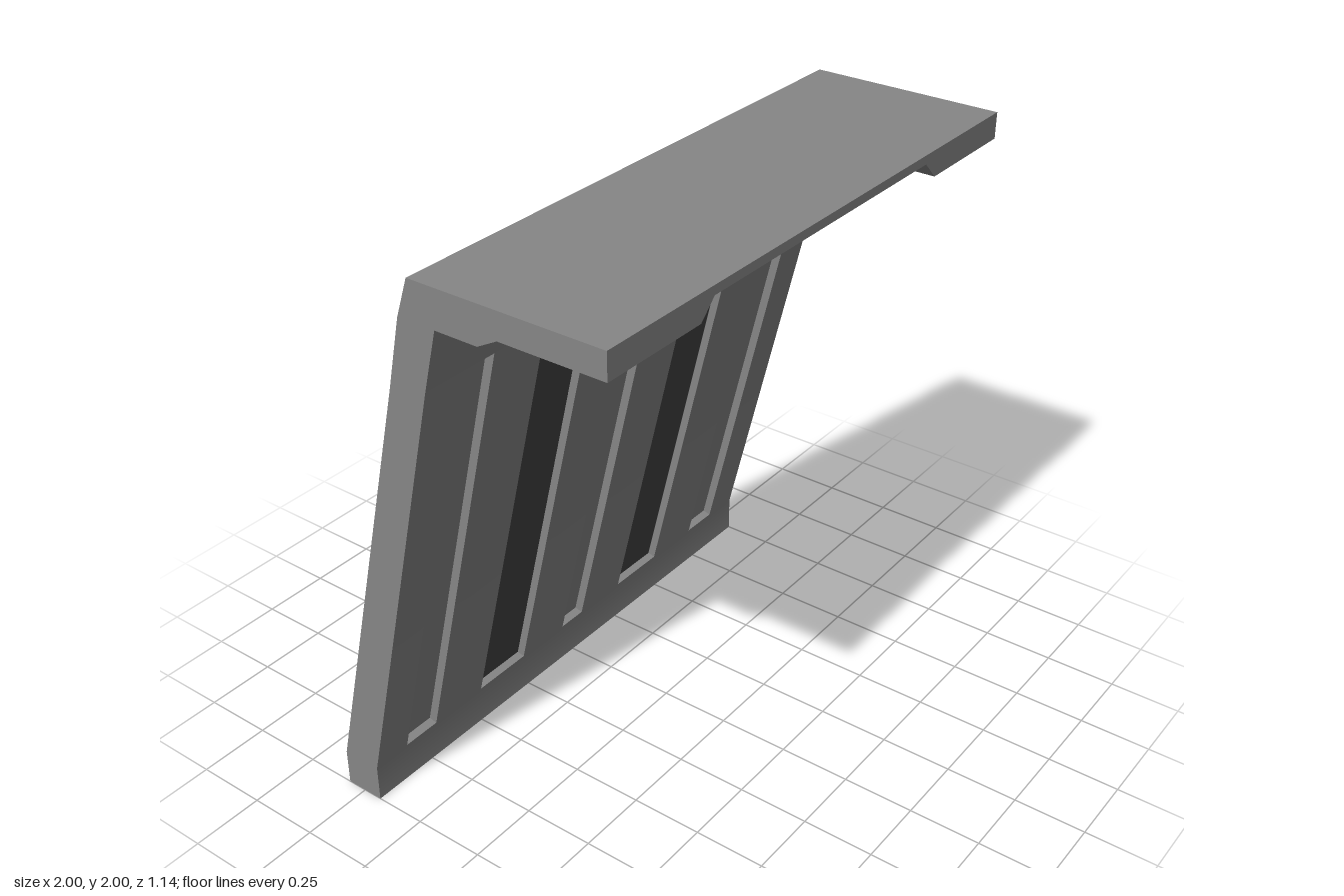
import * as THREE from 'three';
import { toCreasedNormals } from 'three/addons/utils/BufferGeometryUtils.js';

const grey = new THREE.MeshStandardMaterial({ color: 0x868686 });
const dark = new THREE.MeshStandardMaterial({ color: 0x464646 });

const shapeOf = (points) => new THREE.Shape(points.map(([a, b]) => new THREE.Vector2(a, b)));

// Side profile of [z, y] points, swept along x from x0 to x1
function sweepX(name, points, x0, x1, material = grey) {
  let geo = new THREE.ExtrudeGeometry(shapeOf(points), { depth: x1 - x0, bevelEnabled: false });
  geo.rotateY(-Math.PI / 2);
  geo.translate(x1, 0, 0);
  geo = toCreasedNormals(geo, 0.4);
  const mesh = new THREE.Mesh(geo, material);
  mesh.name = name;
  return mesh;
}

// Shares one soft normal along the bend above the foot, so wall and ribs shade as one surface
function softenFoot(mesh) {
  const { position, normal } = mesh.geometry.attributes;
  for (let i = 0; i < position.count; i++) {
    const y = position.getY(i);
    if (y > 0.1 && y < 0.14 && normal.getZ(i) > 0.9) normal.setXYZ(i, 0, -0.117, 0.993);
  }
  return mesh;
}

export function createModel() {
  const model = new THREE.Group();
  model.name = 'slottedPanel';

  // Sloping front face of the wall and the recess cut square into it
  const frontZ = (y) => -0.43 + (y - 0.13) * 0.239;
  const low = [frontZ(0.135), 0.135];
  const high = [frontZ(1.667), 1.667];
  const inset = ([z, y], d) => [z - 0.973 * d, y + 0.232 * d];
  const depth = 0.03;

  // Wall with the rear half of the shelf
  model.add(softenFoot(sweepX('wall', [
    [0.21, 2], [-0.1, 2], [-0.145, 1.87], [-0.2, 1.63], [-0.57, 0.13], [-0.57, 0],
    [-0.43, 0], [-0.43, 0.13], low, inset(low, depth), inset(high, depth), high,
    [-0.01, 1.873], [0.14, 1.873], [0.21, 1.911],
  ], -1, 1)));

  // Ribs fill the recess between the slots
  const slots = [[-0.86, -0.72], [-0.495, -0.27], [-0.055, 0.055], [0.27, 0.495], [0.72, 0.86]];
  const edges = [-1, ...slots.flat(), 1];
  const ribProfile = [low, inset(low, depth), inset(high, depth), high];
  for (let i = 0; i < edges.length; i += 2) {
    model.add(softenFoot(sweepX('rib', ribProfile, edges[i], edges[i + 1])));
  }

  // Dark floors of the two wide slots
  const floorProfile = [inset(low, depth - 0.002), inset(low, depth + 0.005),
    inset(high, depth + 0.005), inset(high, depth - 0.002)];
  for (const i of [1, 3]) {
    model.add(sweepX('slotFloor', floorProfile, slots[i][0], slots[i][1], dark));
  }

  // Front half of the shelf with a wide notch underneath
  const lipGeo = new THREE.ExtrudeGeometry(shapeOf([
    [-1, 2], [-1, 1.911], [-0.61, 1.911], [-0.55, 1.97],
    [0.55, 1.97], [0.61, 1.911], [1, 1.911], [1, 2],
  ]), { depth: 0.36, bevelEnabled: false });
  const lip = new THREE.Mesh(lipGeo, grey);
  lip.name = 'shelfLip';
  lip.position.z = 0.21;
  model.add(lip);

  // Sloped fillet at the back of the notch
  model.add(sweepX('notchFillet', [[0.21, 1.972], [0.25, 1.972], [0.21, 1.943]], -0.575, 0.575));

  return model;
}
